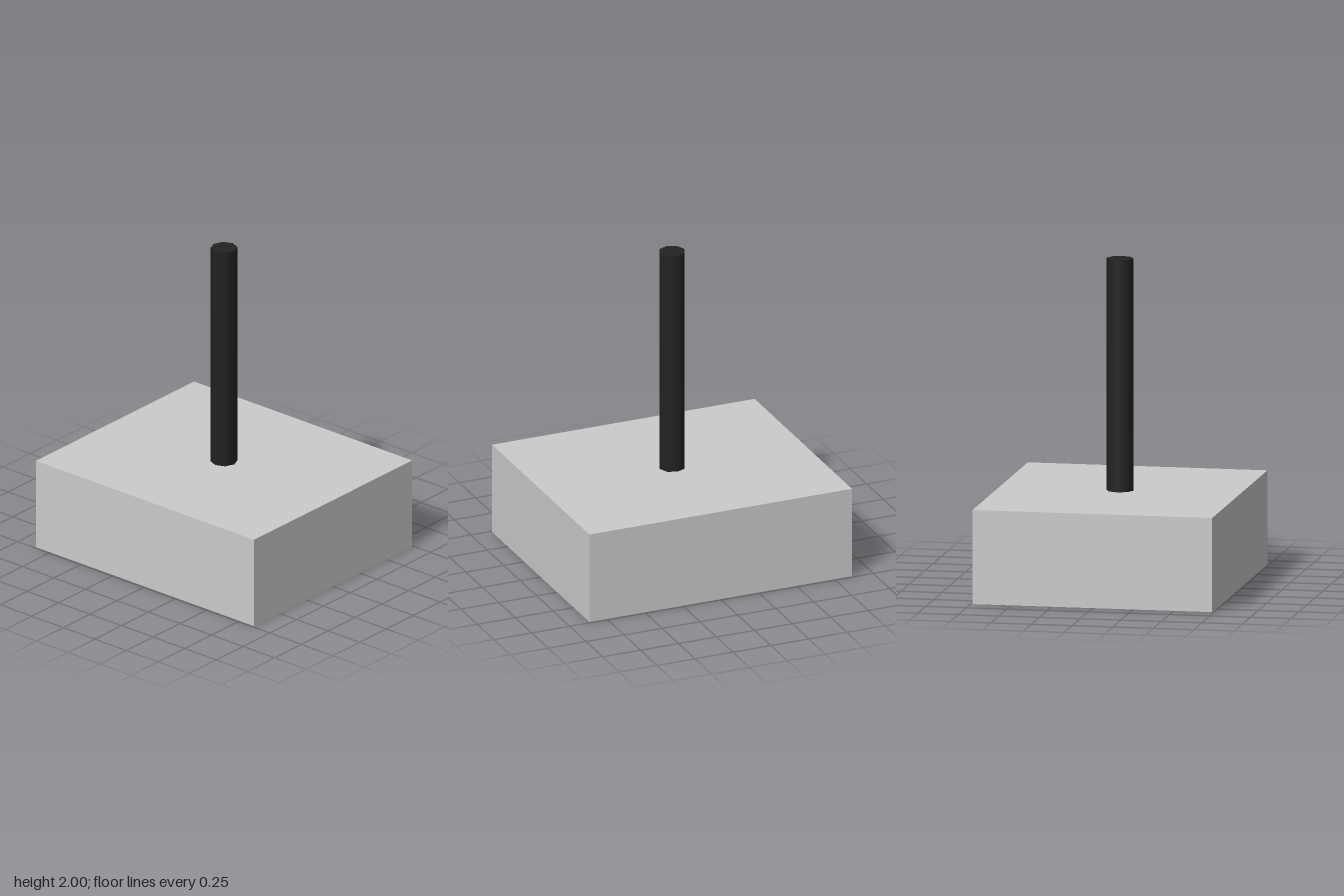
import * as THREE from 'three';

const BASE = { width: 1.73, height: 0.577, depth: 1.476 };
const TOP = 2;
const POST_RADIUS = 0.082;

function addPart(group, name, geometry, color, y) {
  const mesh = new THREE.Mesh(geometry, new THREE.MeshStandardMaterial({ color }));
  mesh.name = name;
  mesh.position.y = y;
  group.add(mesh);
}

export function createModel() {
  const model = new THREE.Group();
  model.name = 'postOnBlock';

  // Solid rectangular base
  addPart(model, 'base', new THREE.BoxGeometry(BASE.width, BASE.height, BASE.depth),
    0xcccccc, BASE.height / 2);

  // Eight-sided, smooth-shaded post standing on the middle of the base
  const length = TOP - BASE.height;
  addPart(model, 'post', new THREE.CylinderGeometry(POST_RADIUS, POST_RADIUS, length, 8),
    0x222222, BASE.height + length / 2);

  return model;
}
